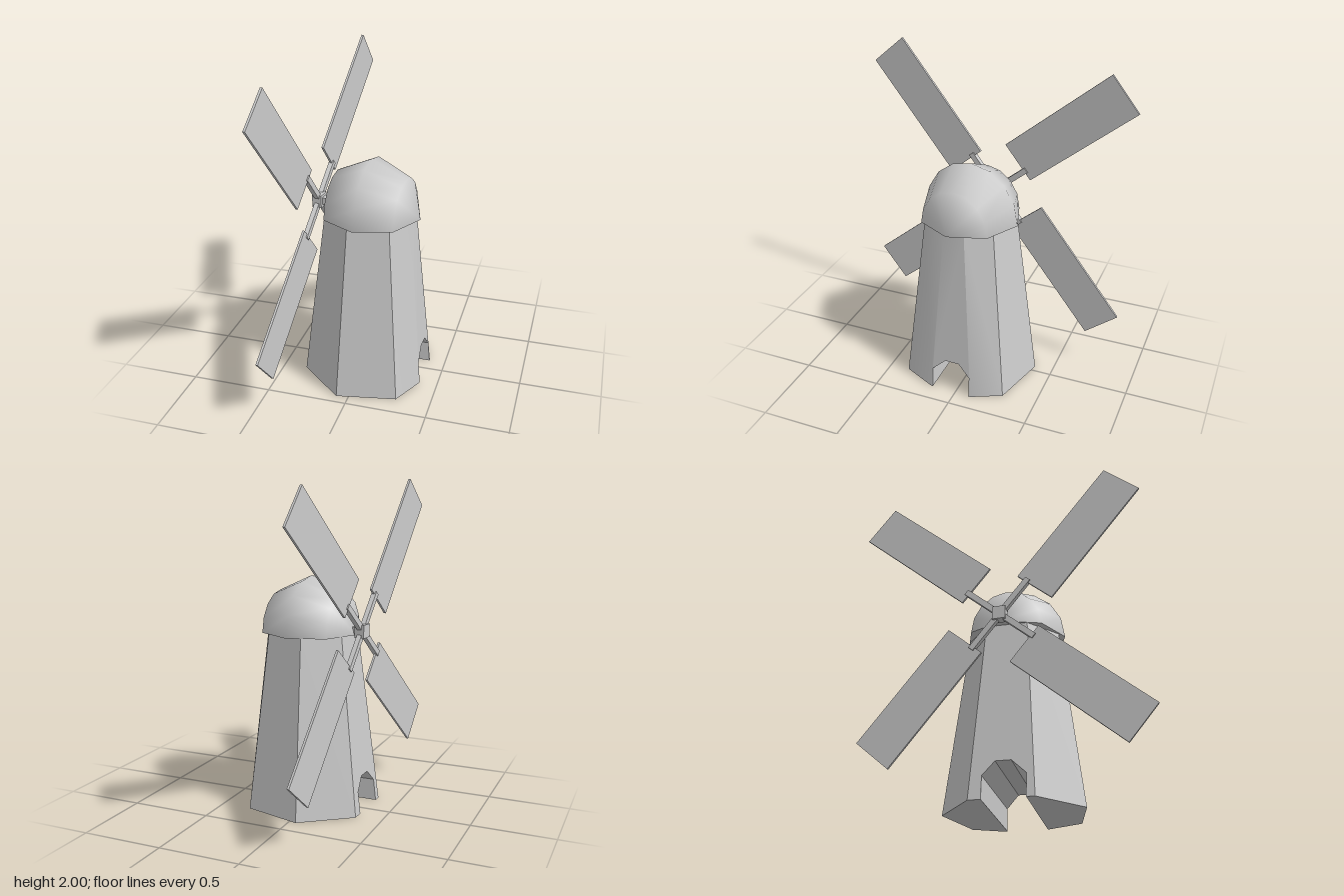
import * as THREE from 'three';
import { toCreasedNormals, mergeGeometries } from 'three/addons/utils/BufferGeometryUtils.js';

const material = new THREE.MeshStandardMaterial({ color: 0xcccccc });
const TOP = 1.085, CX = 0.035, CZ = 0.033, YAW = -0.1;
const lerp = THREE.MathUtils.lerp;

// Doorway outline as [z, y]
const DOOR = [[0.155, 0], [0.155, 0.135], [0.07, 0.215], [-0.02, 0.215], [-0.092, 0.135], [-0.092, 0]];

function mesh(name, geometry) {
  const m = new THREE.Mesh(geometry, material);
  m.name = name;
  return m;
}

// Heptagon as [x, z], its +x corner cut off by the door front
function ring(r, cut) {
  const pts = [...cut];
  for (let k = 1; k < 7; k++) {
    const a = 0.037 + (k * Math.PI * 2) / 7;
    pts.push([CX + r * Math.cos(a), CZ + r * Math.sin(a)]);
  }
  return pts;
}

// Flat outline moved into space by a rule
function panel(points, place) {
  const shape = new THREE.Shape(points.map(([u, v]) => new THREE.Vector2(u, v)));
  const g = new THREE.ShapeGeometry(shape).toNonIndexed();
  const p = g.attributes.position;
  for (let i = 0; i < p.count; i++) p.setXYZ(i, ...place(p.getX(i), p.getY(i)));
  g.deleteAttribute('uv');
  g.deleteAttribute('normal');
  return g;
}

function buildTower() {
  const low = ring(0.425, [[0.398, -0.105], [0.388, 0.168]]);
  const high = ring(0.285, [[0.3, -0.03], [0.297, 0.1]]);
  const tris = [], parts = [];
  const quad = (a, b, c, d) => tris.push(...a, ...b, ...c, ...a, ...c, ...d);

  // x of a wall at a given z and y
  const wallX = (i) => (z, y) => {
    const t = y / TOP, j = (i + 1) % 8;
    const za = lerp(low[i][1], high[i][1], t), zb = lerp(low[j][1], high[j][1], t);
    const xa = lerp(low[i][0], high[i][0], t), xb = lerp(low[j][0], high[j][0], t);
    return lerp(xa, xb, (z - za) / (zb - za));
  };
  const xFront = wallX(0), xBack = wallX(4);

  // Walls: plain sides, and two sides with a doorway
  for (let i = 0; i < 8; i++) {
    const j = (i + 1) % 8;
    if (i === 0 || i === 4) {
      const s = i === 0 ? -1 : 1, x = wallX(i);
      const [p, q] = i === 0 ? [j, i] : [i, j];
      const outline = [[low[p][1], 0], ...DOOR, [low[q][1], 0], [high[q][1], TOP], [high[p][1], TOP]];
      parts.push(panel(outline.map(([z, y]) => [s * z, y]), (u, y) => [x(s * u, y), y, s * u]));
    } else {
      const at = (p, y) => [p[0], y, p[1]];
      quad(at(low[i], 0), at(high[i], TOP), at(high[j], TOP), at(low[j], 0));
    }
  }

  // Passage through the tower
  for (let i = 0; i < DOOR.length - 1; i++) {
    const [[z0, y0], [z1, y1]] = [DOOR[i], DOOR[i + 1]];
    quad([xFront(z0, y0), y0, z0], [xBack(z0, y0), y0, z0], [xBack(z1, y1), y1, z1], [xFront(z1, y1), y1, z1]);
  }

  // Underside on both sides of the passage
  const [zl, zr] = [DOOR[0][0], DOOR[5][0]];
  const down = (x, z) => [x, 0, z];
  parts.push(panel([[xFront(zl, 0), zl], ...low.slice(1, 5), [xBack(zl, 0), zl]], down));
  parts.push(panel([[xBack(zr, 0), zr], ...low.slice(5), low[0], [xFront(zr, 0), zr]], down));

  const sides = new THREE.BufferGeometry();
  sides.setAttribute('position', new THREE.Float32BufferAttribute(tris, 3));
  return mesh('tower', toCreasedNormals(mergeGeometries([sides, ...parts]), 0.7));
}

function buildCap() {
  const cap = new THREE.Group();
  cap.name = 'cap';
  // Half sphere with its poles lying sideways
  const dome = new THREE.SphereGeometry(0.31, 8, 4, 0, Math.PI);
  dome.rotateX(-Math.PI / 2).rotateY(Math.PI / 2).scale(1, 1.1, 1);
  const under = new THREE.CircleGeometry(0.31, 8).rotateX(Math.PI / 2);
  cap.add(mesh('capDome', dome), mesh('capUnderside', under));
  cap.position.set(CX, TOP, CZ);
  cap.rotation.y = YAW;
  return cap;
}

function buildSails() {
  const sails = new THREE.Group();
  sails.name = 'sails';
  sails.add(mesh('hub', new THREE.BoxGeometry(0.06, 0.08, 0.08)));
  const axle = mesh('axle', new THREE.BoxGeometry(0.12, 0.045, 0.045));
  axle.position.x = 0.04;
  sails.add(axle);
  for (let i = 0; i < 4; i++) {
    const sail = new THREE.Group();
    sail.name = 'sail';
    const arm = mesh('sailArm', new THREE.BoxGeometry(0.03, 0.27, 0.035));
    arm.position.y = 0.135;
    const blade = mesh('sailBlade', new THREE.BoxGeometry(0.014, 0.85, 0.267));
    blade.position.set(0, 0.675, 0.067);
    sail.add(arm, blade);
    sail.rotation.x = 0.7 + (i * Math.PI) / 2;
    sails.add(sail);
  }
  sails.position.set(-0.308, 1.113, 0);
  sails.rotation.y = YAW;
  return sails;
}

export function createModel() {
  const model = new THREE.Group();
  model.name = 'windmill';
  model.add(buildTower(), buildCap(), buildSails());
  return model;
}
